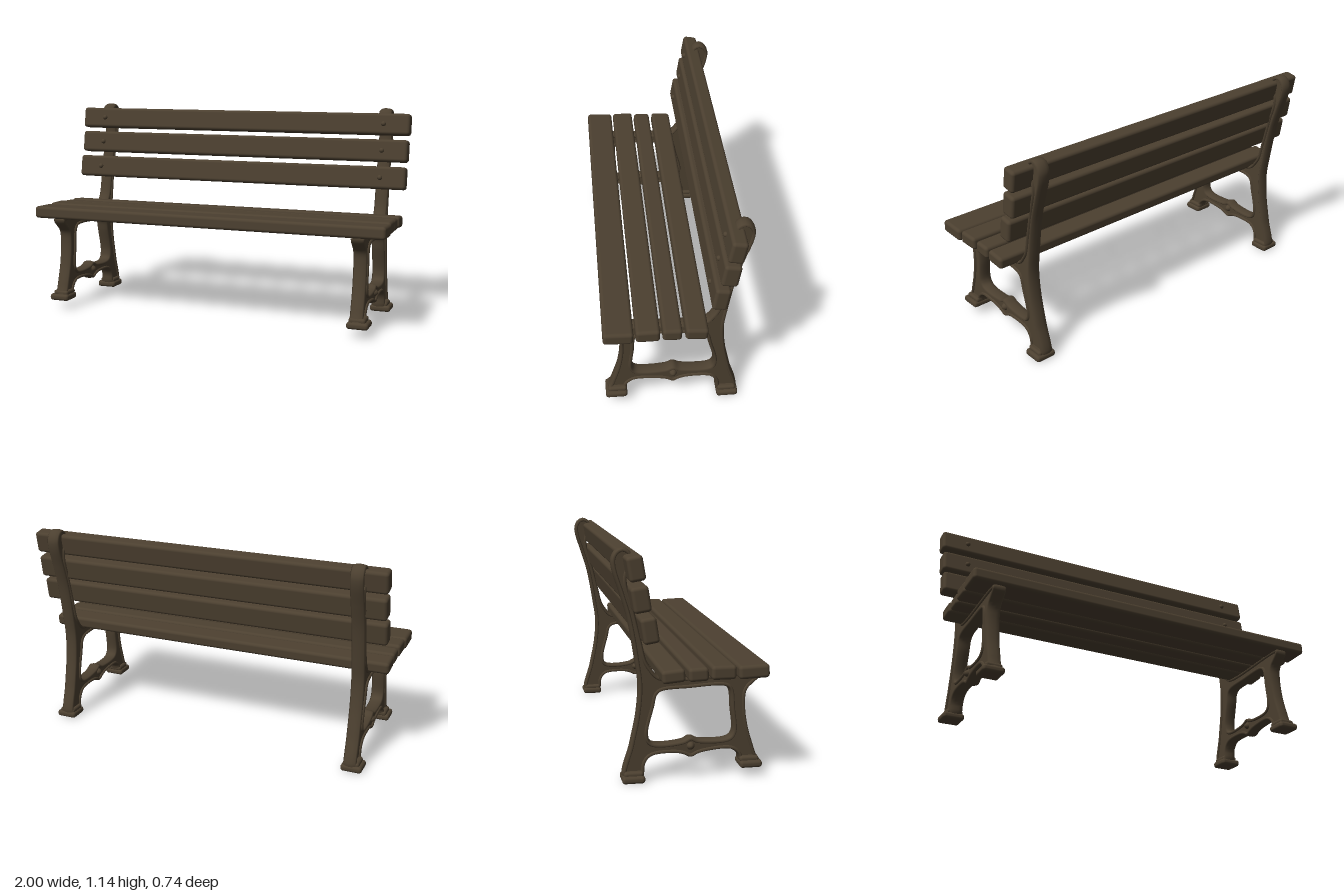
import * as THREE from 'three';
import { toCreasedNormals } from 'three/addons/utils/BufferGeometryUtils.js';
import { RoundedBoxGeometry } from 'three/addons/geometries/RoundedBoxGeometry.js';

const BEAD = 0.012; // radius of the rim bead, seen from the side
const HALF = 0.036; // half width of the cast frame

// Side profile of the cast frame as [z, y]
const OUTLINE = [
  [0.355, 0.52], [0.355, 0.498], [0.327, 0.47], [0.293, 0.435], [0.285, 0.373], [0.3, 0.25],
  [0.335, 0.13], [0.352, 0.065], [0.262, 0.065], [0.25, 0.105], [0.215, 0.135], [0.08, 0.13],
  [0.045, 0.12], [0.012, 0.105], [-0.02, 0.12], [-0.06, 0.13], [-0.18, 0.122], [-0.208, 0.09],
  [-0.222, 0.02], [-0.32, 0.02], [-0.285, 0.19], [-0.255, 0.34], [-0.245, 0.48], [-0.26, 0.6],
  [-0.295, 0.8], [-0.33, 0.92], [-0.366, 1.035], [-0.37, 1.085], [-0.35, 1.125], [-0.315, 1.14],
  [-0.278, 1.12], [-0.27, 1.08], [-0.295, 0.99], [-0.265, 0.86], [-0.225, 0.69], [-0.203, 0.6],
  [-0.18, 0.56], [-0.14, 0.52],
];
const OPENING = [
  [0.2, 0.44], [0.18, 0.455], [0.0, 0.452], [-0.13, 0.443], [-0.15, 0.428], [-0.165, 0.37],
  [-0.195, 0.235], [-0.18, 0.195], [-0.03, 0.195], [0.012, 0.213], [0.055, 0.197], [0.2, 0.2],
  [0.22, 0.225], [0.212, 0.34],
];

// Smooth closed loop through the points, moved inward by d
function insetLoop(points, d) {
  const curve = new THREE.CatmullRomCurve3(
    points.map(([z, y]) => new THREE.Vector3(z, y, 0)), true, 'centripetal');
  const p = curve.getSpacedPoints(180).slice(0, -1);
  const s = THREE.ShapeUtils.area(p) > 0 ? d : -d;
  return p.map((v, i) => {
    const a = p[(i + p.length - 1) % p.length], b = p[(i + 1) % p.length];
    const t = b.clone().sub(a).normalize();
    return new THREE.Vector2(v.x - t.y * s, v.y + t.x * s);
  });
}

function rimGeometry(loop) {
  const curve = new THREE.CatmullRomCurve3(
    loop.map((v) => new THREE.Vector3(0, v.y, v.x)), true);
  return new THREE.TubeGeometry(curve, 220, BEAD, 10, true).scale(HALF / BEAD, 1, 1);
}

export function createModel() {
  const model = new THREE.Group();
  model.name = 'bench';
  const brown = new THREE.MeshStandardMaterial({ color: 0x4c4030 });
  brown.name = 'dark brown';

  const add = (parent, name, geometry, x, y, z, tilt = 0) => {
    const mesh = new THREE.Mesh(geometry, brown);
    mesh.name = name;
    mesh.position.set(x, y, z);
    mesh.rotation.x = tilt;
    parent.add(mesh);
    return mesh;
  };

  // Cast frame: thin web with a wide bead round its edges
  const outer = insetLoop(OUTLINE, BEAD);
  const inner = insetLoop(OPENING, -BEAD);
  const webShape = new THREE.Shape(outer);
  webShape.holes.push(new THREE.Path(inner));
  const web = toCreasedNormals(
    new THREE.ExtrudeGeometry(webShape, { depth: 0.05, bevelEnabled: false })
      .translate(0, 0, -0.025).rotateY(-Math.PI / 2), 0.6);
  const outerRim = rimGeometry(outer);
  const innerRim = rimGeometry(inner);
  const foot = new RoundedBoxGeometry(0.115, 0.036, 0.112, 4, 0.015);
  const ankle = new RoundedBoxGeometry(0.09, 0.03, 0.096, 3, 0.013);
  const boss = new THREE.SphereGeometry(1, 20, 12).scale(0.044, 0.024, 0.024);

  for (const side of [1, -1]) {
    const frame = new THREE.Group();
    frame.name = side > 0 ? 'leftFrame' : 'rightFrame';
    frame.position.x = side * 0.855;
    add(frame, 'frameWeb', web, 0, 0, 0);
    add(frame, 'outerRim', outerRim, 0, 0, 0);
    add(frame, 'innerRim', innerRim, 0, 0, 0);
    add(frame, 'frontFoot', foot, side * 0.008, 0.065, 0.309);
    add(frame, 'frontAnkle', ankle, side * 0.004, 0.088, 0.303);
    add(frame, 'rearFoot', foot, side * 0.008, 0.018, -0.272);
    add(frame, 'rearAnkle', ankle, side * 0.004, 0.04, -0.27);
    add(frame, 'stretcherBoss', boss, 0, 0.166, 0.012);
    model.add(frame);
  }

  // Slats: [length, height, depth, y, z, tilt]
  const slats = {
    seatSlat: [
      [2.0, 0.066, 0.15, 0.55, 0.295, -0.04],
      [1.99, 0.068, 0.12, 0.55, 0.149, 0],
      [1.98, 0.066, 0.096, 0.544, 0.028, -0.04],
      [1.985, 0.064, 0.112, 0.541, -0.093, -0.09],
    ],
    backSlat: [
      [2.0, 0.118, 0.078, 1.052, -0.27, -0.17],
      [1.99, 0.122, 0.084, 0.908, -0.246, -0.16],
      [1.99, 0.124, 0.076, 0.762, -0.205, -0.16],
    ],
  };
  const bolt = new THREE.SphereGeometry(0.014, 14, 8);
  for (const [name, rows] of Object.entries(slats)) {
    rows.forEach(([length, height, depth, y, z, tilt], i) => {
      const slat = add(model, `${name}${i + 1}`,
        new RoundedBoxGeometry(length, height, depth, 4, 0.017), 0, y, z, tilt);
      // Bolt heads where the back slats meet the frames
      if (name === 'backSlat') {
        for (const x of [-0.855, 0.855]) add(slat, 'bolt', bolt, x, 0, depth / 2);
      }
    });
  }
  return model;
}
